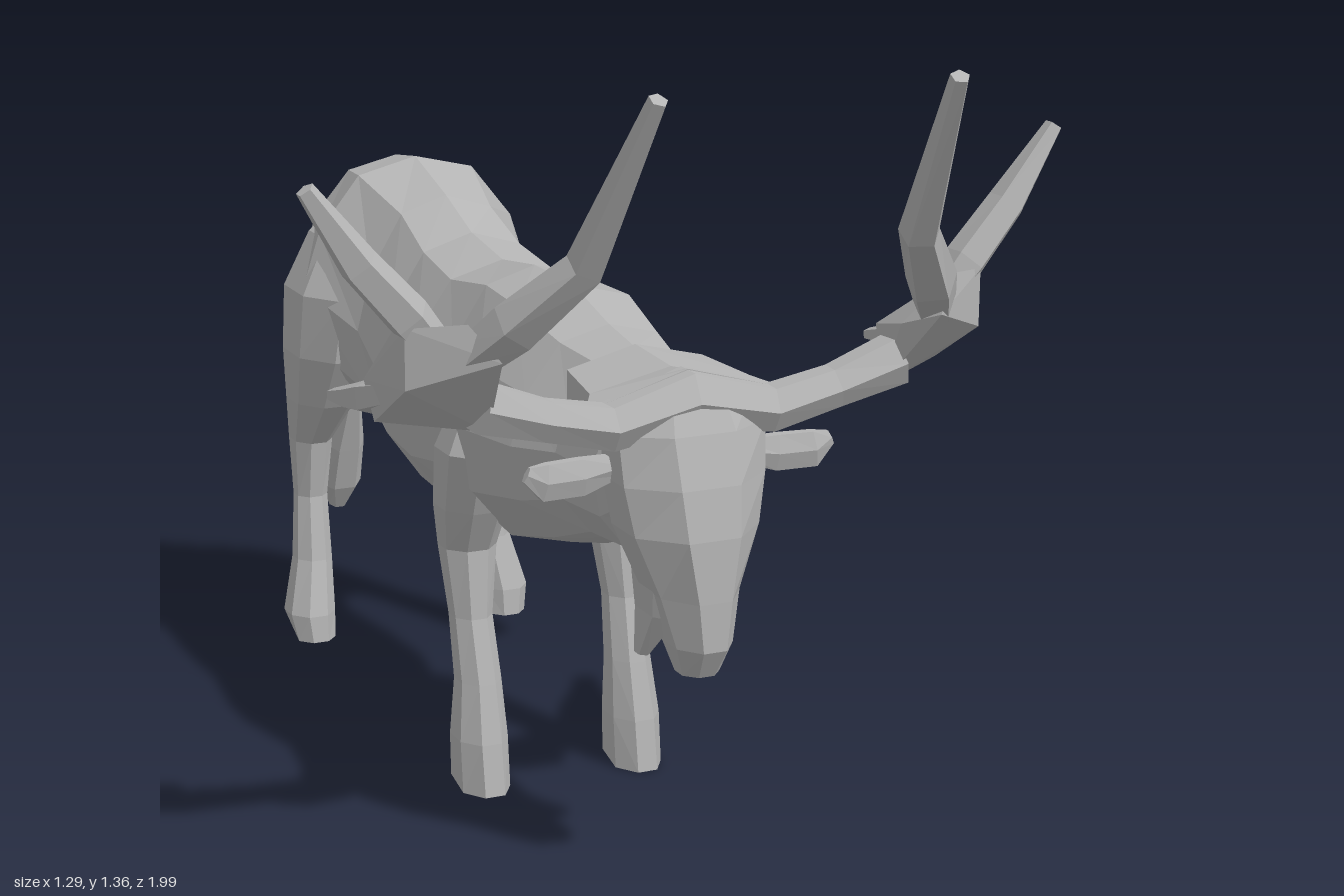
import * as THREE from 'three';
import { ConvexGeometry } from 'three/addons/geometries/ConvexGeometry.js';

const V = (x, y, z) => new THREE.Vector3(x, y, z);

// Faceted skin over a list of equal-length rings, capped at both ends
function loft(rings) {
  const pos = [];
  const tri = (a, b, c) => pos.push(...a, ...b, ...c);
  const n = rings[0].length;
  for (let i = 0; i < rings.length - 1; i++) {
    for (let j = 0; j < n; j++) {
      const k = (j + 1) % n, A = rings[i], B = rings[i + 1];
      tri(A[j], A[k], B[k]);
      tri(A[j], B[k], B[j]);
    }
  }
  const cap = (ring, flip) => {
    const c = ring.reduce((s, p) => s.add(p), V(0, 0, 0)).divideScalar(n);
    ring.forEach((p, j) => {
      const q = ring[(j + 1) % n];
      flip ? tri(c, q, p) : tri(c, p, q);
    });
  };
  cap(rings[0], true);
  cap(rings[rings.length - 1], false);
  // Turn the skin outwards when its enclosed volume is negative
  let vol = 0;
  for (let i = 0; i < pos.length; i += 9) {
    const a = V(...pos.slice(i, i + 3)), b = V(...pos.slice(i + 3, i + 6)), c = V(...pos.slice(i + 6, i + 9));
    vol += a.dot(b.cross(c));
  }
  if (vol < 0) {
    for (let i = 0; i < pos.length; i += 9) {
      for (let k = 0; k < 3; k++) [pos[i + 3 + k], pos[i + 6 + k]] = [pos[i + 6 + k], pos[i + 3 + k]];
    }
  }
  const g = new THREE.BufferGeometry();
  g.setAttribute('position', new THREE.Float32BufferAttribute(pos, 3));
  g.computeVertexNormals();
  return g;
}

// Unit outline with n sides
const outline = (n, turn = 0) => Array.from({ length: n }, (_, i) => {
  const a = (i / n) * Math.PI * 2 + turn;
  return [Math.cos(a), Math.sin(a)];
});

// Upright limb: rows of [y, x inner, x outer, z back, z front, rise of the back edge]
function limb(rows, s, n = 8) {
  return loft(rows.map(([y, x0, x1, z0, z1, rise = 0]) => outline(n, Math.PI / n).map(([u, v]) =>
    V(s * ((x0 + x1) / 2 + u * 1.06 * (x1 - x0) / 2), y + (v < 0 ? rise : 0), (z0 + z1) / 2 + v * 1.06 * (z1 - z0) / 2))));
}

// Tapering tube: rows of [x, y, z, radius, optional second radius]
function branch(rows, s = 1, n = 5) {
  const pts = rows.map(([x, y, z]) => V(s * x, y, z));
  return loft(rows.map(([, , , r, r2 = r], i) => {
    const t = pts[Math.min(i + 1, pts.length - 1)].clone().sub(pts[Math.max(i - 1, 0)]).normalize();
    const ref = Math.abs(t.x) > 0.75 ? V(0, 0, 1) : V(1, 0, 0);
    const u = ref.addScaledVector(t, -ref.dot(t)).normalize();
    const v = t.clone().cross(u);
    return outline(n).map(([a, b]) => pts[i].clone().addScaledVector(u, a * r).addScaledVector(v, b * r2));
  }));
}

export function createModel() {
  const model = new THREE.Group();
  const hide = new THREE.MeshStandardMaterial({ color: 0xb4b4b4 });
  hide.name = 'grey hide';
  hide.flatShading = true;
  const add = (name, geometry, parent = model) => {
    const m = new THREE.Mesh(geometry, hide);
    m.name = name;
    parent.add(m);
  };

  // Neck, trunk and rump: [z, bottom, top, half width]
  const half = [[0, 1], [0.5, 0.88], [0.85, 0.45], [1, 0], [0.9, -0.5], [0.55, -0.88]];
  const bodyOutline = [...half, [0, -1], ...half.slice(1).reverse().map(([x, y]) => [-x, y])];
  const trunk = [
    [0.61, 0.6, 0.8, 0.09], [0.54, 0.53, 0.83, 0.13], [0.42, 0.52, 0.84, 0.14], [0.32, 0.48, 0.855, 0.175],
    [0.18, 0.44, 0.89, 0.205], [0.02, 0.44, 0.89, 0.18], [-0.12, 0.42, 0.87, 0.195], [-0.26, 0.42, 0.89, 0.185],
    [-0.38, 0.46, 0.935, 0.175], [-0.53, 0.52, 0.98, 0.225], [-0.63, 0.6, 0.965, 0.19], [-0.69, 0.68, 0.94, 0.1],
    [-0.72, 0.8, 0.915, 0.035],
  ];
  add('body', loft(trunk.map(([z, y0, y1, w]) =>
    bodyOutline.map(([u, v]) => V(u * w, (y0 + y1) / 2 + v * (y1 - y0) / 2, z)))));

  // Nape spreading from the neck to the antlers: [z, half width, bottom, edge, ridge]
  add('nape', loft([[0.42, 0.12, 0.74, 0.815, 0.845], [0.55, 0.14, 0.74, 0.81, 0.84], [0.61, 0.175, 0.75, 0.8, 0.85]]
    .map(([z, w, y0, y1, y2]) => [V(-w, y0, z), V(-w, y1, z), V(0, y2, z), V(w, y1, z), V(w, y0, z)])));

  // Head, narrowing downwards to the muzzle
  add('head', limb([
    [0.81, -0.11, 0.11, 0.55, 0.65], [0.76, -0.13, 0.13, 0.52, 0.675], [0.68, -0.125, 0.125, 0.5, 0.7],
    [0.6, -0.11, 0.11, 0.5, 0.715], [0.5, -0.07, 0.07, 0.53, 0.72], [0.42, -0.05, 0.05, 0.59, 0.72],
    [0.37, -0.033, 0.033, 0.62, 0.69],
  ], 1));

  // Tail with a heavy tuft
  add('tail', branch([
    [0, 0.9, -0.67, 0.045, 0.03], [0, 0.87, -0.735, 0.03], [0, 0.64, -0.815, 0.02, 0.024], [0, 0.42, -0.895, 0.022, 0.028],
    [0, 0.32, -0.935, 0.042, 0.036], [0, 0.23, -0.962, 0.044, 0.032], [0, 0.178, -0.978, 0.018, 0.015],
  ], 1, 6));

  // Brow bar joining both antlers across the crown
  const bar = [[0.36, 0.835, 0.63, 0.04, 0.045], [0.25, 0.8, 0.625, 0.035, 0.036], [0.14, 0.775, 0.62, 0.04]];
  add('antlerBar', branch([
    ...bar.map(([x, ...r]) => [-x, ...r]), [0, 0.805, 0.61, 0.05, 0.05], ...bar.slice().reverse(),
  ], 1, 6));

  for (const s of [1, -1]) {
    const side = s > 0 ? 'left' : 'right';

    // Antler: slanted palm with three tines
    const antler = new THREE.Group();
    antler.name = side + 'Antler';
    model.add(antler);
    add('palm', new ConvexGeometry([
      [0.34, 0.79, 0.62], [0.34, 0.885, 0.595], [0.345, 0.9, 0.665], [0.37, 0.93, 0.745], [0.41, 0.985, 0.71],
      [0.49, 0.975, 0.66], [0.49, 0.96, 0.61], [0.495, 0.86, 0.5], [0.465, 0.84, 0.49], [0.47, 0.795, 0.5],
      [0.49, 0.8, 0.53], [0.49, 0.88, 0.66],
    ].map(([x, y, z]) => V(s * x, y, z))), antler);
    add('frontTine', branch([
      [0.39, 0.93, 0.69, 0.035], [0.35, 0.985, 0.745, 0.042], [0.275, 1.085, 0.83, 0.033], [0.24, 1.35, 0.988, 0.015]], s), antler);
    add('outerTine', branch([
      [0.43, 0.93, 0.64, 0.03], [0.475, 0.985, 0.64, 0.036], [0.55, 1.07, 0.635, 0.032], [0.632, 1.19, 0.635, 0.015]], s), antler);
    add('backTine', branch([
      [0.47, 0.85, 0.56, 0.025], [0.478, 0.825, 0.48, 0.03], [0.482, 0.81, 0.42, 0.023], [0.482, 0.79, 0.325, 0.011]], s), antler);

    // Ear and hanging lip
    add(side + 'Ear', branch([
      [0.1, 0.7, 0.58, 0.015, 0.02], [0.17, 0.69, 0.585, 0.018, 0.034],
      [0.235, 0.69, 0.59, 0.016, 0.034], [0.265, 0.705, 0.59, 0.007, 0.014]], s, 6));
    add(side + 'Lip', limb([
      [0.54, 0, 0.075, 0.52, 0.68], [0.46, 0.015, 0.07, 0.54, 0.66], [0.385, 0.05, 0.072, 0.565, 0.6]], s, 6));

    // Front leg, merging into the shoulder
    add(side + 'FrontLeg', limb([
      [0, 0.1, 0.19, 0.05, 0.185, 0.015], [0.09, 0.1, 0.19, 0.05, 0.17], [0.19, 0.105, 0.18, 0.055, 0.145],
      [0.3, 0.11, 0.18, 0.035, 0.115], [0.42, 0.095, 0.19, 0.005, 0.105], [0.5, 0.085, 0.205, 0.01, 0.15],
      [0.61, 0.08, 0.215, 0.035, 0.2], [0.72, 0.08, 0.17, 0.07, 0.17],
    ], s));

    // Hind leg and thigh
    add(side + 'HindLeg', limb([
      [0.05, 0.16, 0.235, -0.62, -0.54, 0.015], [0.1, 0.155, 0.245, -0.65, -0.545], [0.2, 0.15, 0.22, -0.66, -0.58],
      [0.32, 0.15, 0.21, -0.67, -0.605], [0.43, 0.14, 0.215, -0.685, -0.59], [0.52, 0.11, 0.23, -0.675, -0.51],
      [0.62, 0.08, 0.24, -0.68, -0.45], [0.74, 0.06, 0.235, -0.69, -0.43], [0.84, 0.05, 0.185, -0.67, -0.46],
      [0.9, 0.04, 0.11, -0.65, -0.5],
    ], s));
  }
  return model;
}
